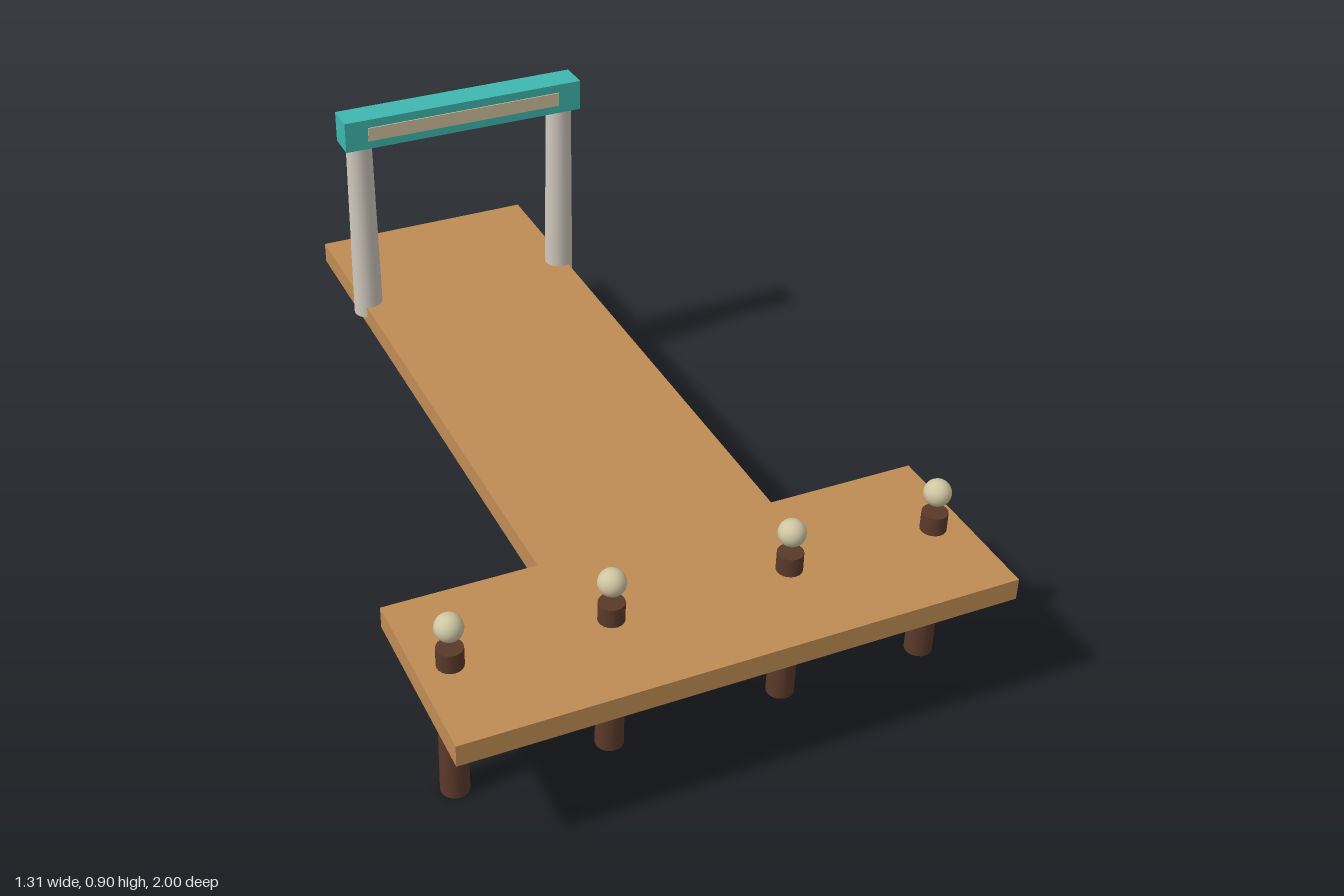
import * as THREE from 'three';

const mat = (name, color) => {
  const m = new THREE.MeshStandardMaterial({ color });
  m.name = name;
  return m;
};

export function createModel() {
  const wood = mat('deck wood', 0xc08c54);
  const darkWood = mat('dark piling wood', 0x5a3a2a);
  const stone = mat('pale post', 0xcfc8bc);
  const teal = mat('teal paint', 0x3fb8b0);
  const cream = mat('cream panel', 0xd2c29e);
  const ivory = mat('lamp ivory', 0xcfc6a2);

  const model = new THREE.Group();
  model.name = 'pier';
  const add = (name, geometry, material, x, y, z) => {
    const mesh = new THREE.Mesh(geometry, material);
    mesh.name = name;
    mesh.position.set(x, y, z);
    model.add(mesh);
    return mesh;
  };

  // T-shaped deck: outline drawn in x and -z, then laid flat
  const outline = [
    [-0.655, -1], [0.655, -1], [0.655, -0.542], [0.29, -0.542],
    [0.29, 1], [-0.29, 1], [-0.29, -0.542], [-0.655, -0.542],
  ].map(([x, y]) => new THREE.Vector2(x, y));
  const deck = new THREE.ExtrudeGeometry(new THREE.Shape(outline), { depth: 0.054, bevelEnabled: false });
  deck.rotateX(-Math.PI / 2);
  add('deck', deck, wood, 0, 0.299, 0);

  // Pilings through the wide end, each with a floating globe
  const piling = new THREE.CylinderGeometry(0.03, 0.033, 0.4, 20);
  const globe = new THREE.SphereGeometry(0.032, 24, 16);
  for (const x of [-0.58, -0.215, 0.213, 0.58]) {
    add('piling', piling, darkWood, x, 0.2, 0.77);
    add('lampGlobe', globe, ivory, x, 0.453, 0.77);
  }

  // Gateway: two tapered posts, a beam and a panel on both faces
  const gateZ = -0.666;
  const gatePost = new THREE.CylinderGeometry(0.033, 0.038, 0.5, 20);
  for (const side of [-1, 1]) {
    add('gatePost', gatePost, stone, side * 0.275, 0.573, gateZ);
    add('signPanel', new THREE.BoxGeometry(0.52, 0.036, 0.006), cream, 0, 0.858, gateZ + side * 0.038);
  }
  add('gateBeam', new THREE.BoxGeometry(0.64, 0.08, 0.076), teal, 0, 0.858, gateZ);

  return model;
}
